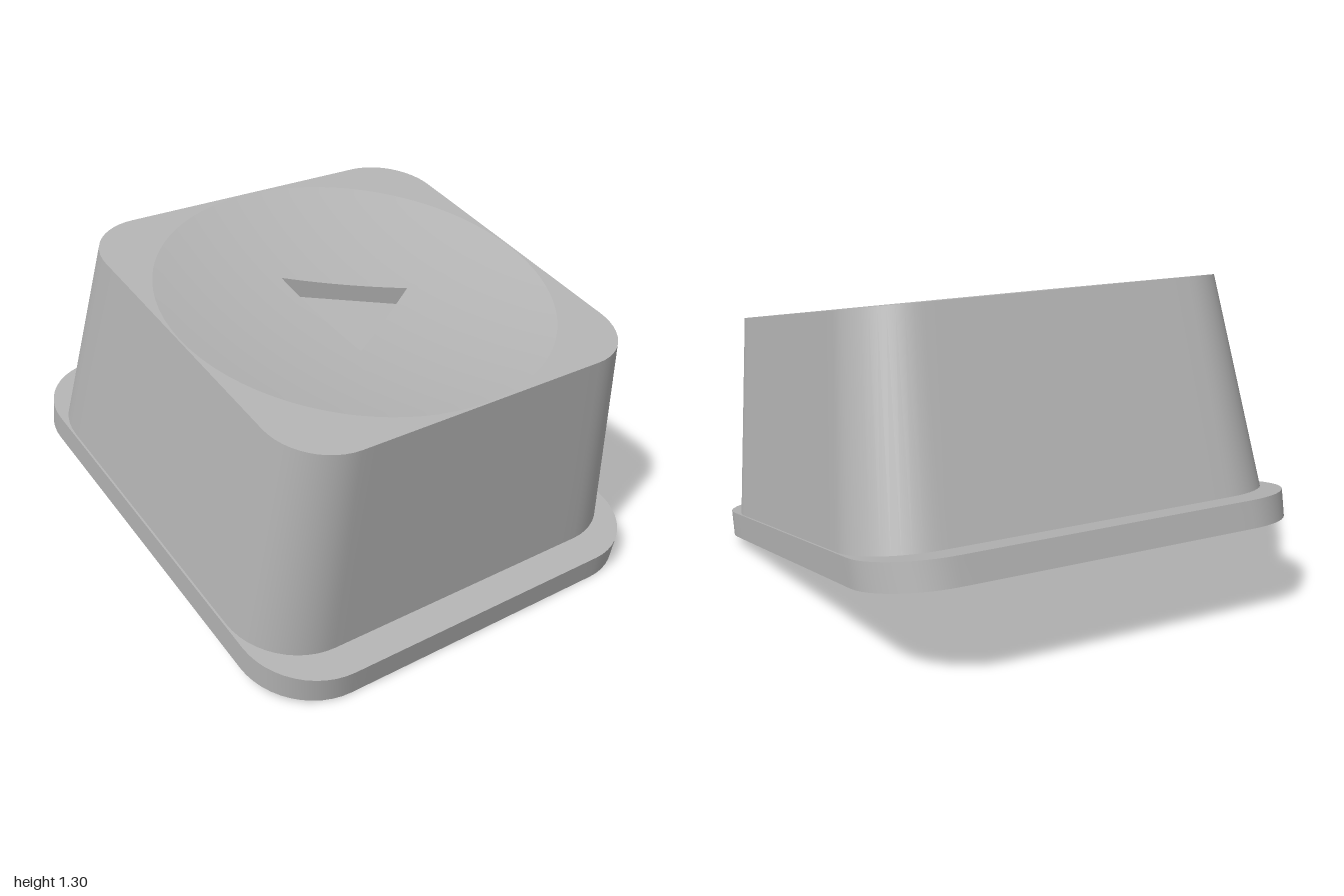
import * as THREE from 'three';
import { toCreasedNormals } from 'three/addons/utils/BufferGeometryUtils.js';

const ARC = 12, EDGE = 16;

// Rounded rectangle in the xz plane (half sizes a, b), ordered by angle
function outline(a, b, r) {
  const corners = [[1, 1], [-1, 1], [-1, -1], [1, -1]];
  const arcs = corners.map(([sx, sz], k) => Array.from({ length: ARC + 1 }, (_, i) => {
    const t = (k + i / ARC) * Math.PI / 2;
    return new THREE.Vector2(sx * (a - r) + r * Math.cos(t), sz * (b - r) + r * Math.sin(t));
  }));
  const pts = [];
  arcs.forEach((arc, k) => {
    pts.push(...arc);
    const next = arcs[(k + 1) % 4][0];
    for (let i = 1; i < EDGE; i++) pts.push(arc[ARC].clone().lerp(next, i / EDGE));
  });
  return pts;
}

// Skin closed rings; the faces look outward when the rings run upward
function loft(rings, crease = 0.5) {
  const n = rings[0].length, pos = [], idx = [];
  rings.forEach(ring => ring.forEach(p => pos.push(p.x, p.y, p.z)));
  for (let j = 0; j < rings.length - 1; j++) {
    for (let i = 0; i < n; i++) {
      const a = j * n + i, a1 = j * n + (i + 1) % n;
      idx.push(a, a + n, a1, a1, a + n, a1 + n);
    }
  }
  const geo = new THREE.BufferGeometry();
  geo.setAttribute('position', new THREE.Float32BufferAttribute(pos, 3));
  geo.setIndex(idx);
  return toCreasedNormals(geo, crease);
}

const at = (pts, y) => pts.map(p => new THREE.Vector3(p.x, y, p.y));

// Distance from the centre to a convex polygon along a unit direction
function rayToPolygon(dir, poly) {
  let best = Infinity;
  poly.forEach((p, i) => {
    const q = poly[(i + 1) % poly.length];
    const nx = q.y - p.y, ny = p.x - q.x;
    const d = dir.x * nx + dir.y * ny;
    if (d > 1e-9) best = Math.min(best, (p.x * nx + p.y * ny) / d);
  });
  return best;
}

export function createModel() {
  const model = new THREE.Group();
  const button = new THREE.Group();
  button.name = 'tiltedButton';
  button.position.set(0, 0.2105, -0.01);
  button.rotation.x = THREE.MathUtils.degToRad(12);
  model.add(button);

  const grey = new THREE.MeshStandardMaterial({ color: 0xb4b4b4 });
  grey.name = 'grey plastic';
  const add = (name, geo) => {
    const mesh = new THREE.Mesh(geo, grey);
    mesh.name = name;
    button.add(mesh);
  };

  const PLATE = 0.107, TOP = 0.95, DISH_R = 0.78, DISH_DEPTH = 0.08, FLOOR = 0.8;

  // Base flange with a rectangular opening underneath
  const shape = new THREE.Shape(outline(0.89, 1.011, 0.29));
  shape.holes.push(new THREE.Path(outline(0.405, 0.455, 0.035).reverse()));
  const plate = new THREE.ExtrudeGeometry(shape, { depth: PLATE, bevelEnabled: false });
  plate.rotateX(-Math.PI / 2);
  add('baseFlange', toCreasedNormals(plate, 0.5));

  // Tapered body walls
  const topEdge = outline(0.787, 0.787, 0.24);
  add('bodyWalls', loft([at(outline(0.882, 0.882, 0.285), PLATE), at(topEdge, TOP)]));

  // Flat corners of the top around the round dish
  const dirs = topEdge.map(p => p.clone().normalize());
  const circle = r => dirs.map(d => d.clone().multiplyScalar(r));
  add('topRim', loft([at(topEdge, TOP), at(circle(DISH_R), TOP)]));

  // Shallow dish running in to the triangular recess
  const triangle = [[0.262, 0], [-0.164, 0.268], [-0.164, -0.268]].map(p => new THREE.Vector2(...p));
  const inner = dirs.map(d => rayToPolygon(d, triangle));
  const dishY = r => TOP - DISH_DEPTH * (1 - (r / DISH_R) ** 2);
  const dishRings = [];
  for (let j = 0; j <= 14; j++) {
    dishRings.push(dirs.map((d, i) => {
      const r = THREE.MathUtils.lerp(DISH_R, inner[i], j / 14);
      return new THREE.Vector3(d.x * r, dishY(r), d.y * r);
    }));
  }
  add('topDish', loft(dishRings));

  // Triangular recess: walls and flat floor
  const triEdge = dirs.map((d, i) => d.clone().multiplyScalar(inner[i]));
  add('triangleWalls', loft([dishRings[14], at(triEdge, FLOOR)]));
  add('triangleFloor', loft([at(triEdge, FLOOR), at(circle(0), FLOOR)]));

  // Underside: ceiling of the opening with a round blind socket
  const SOCKET_TOP = 0.305, CEILING = 0.104;
  add('undersideSocket', loft([
    at(circle(0), SOCKET_TOP),
    at(circle(0.27), SOCKET_TOP),
    at(circle(0.27), CEILING),
    at(outline(0.43, 0.48, 0.03), CEILING),
  ]));

  return model;
}
